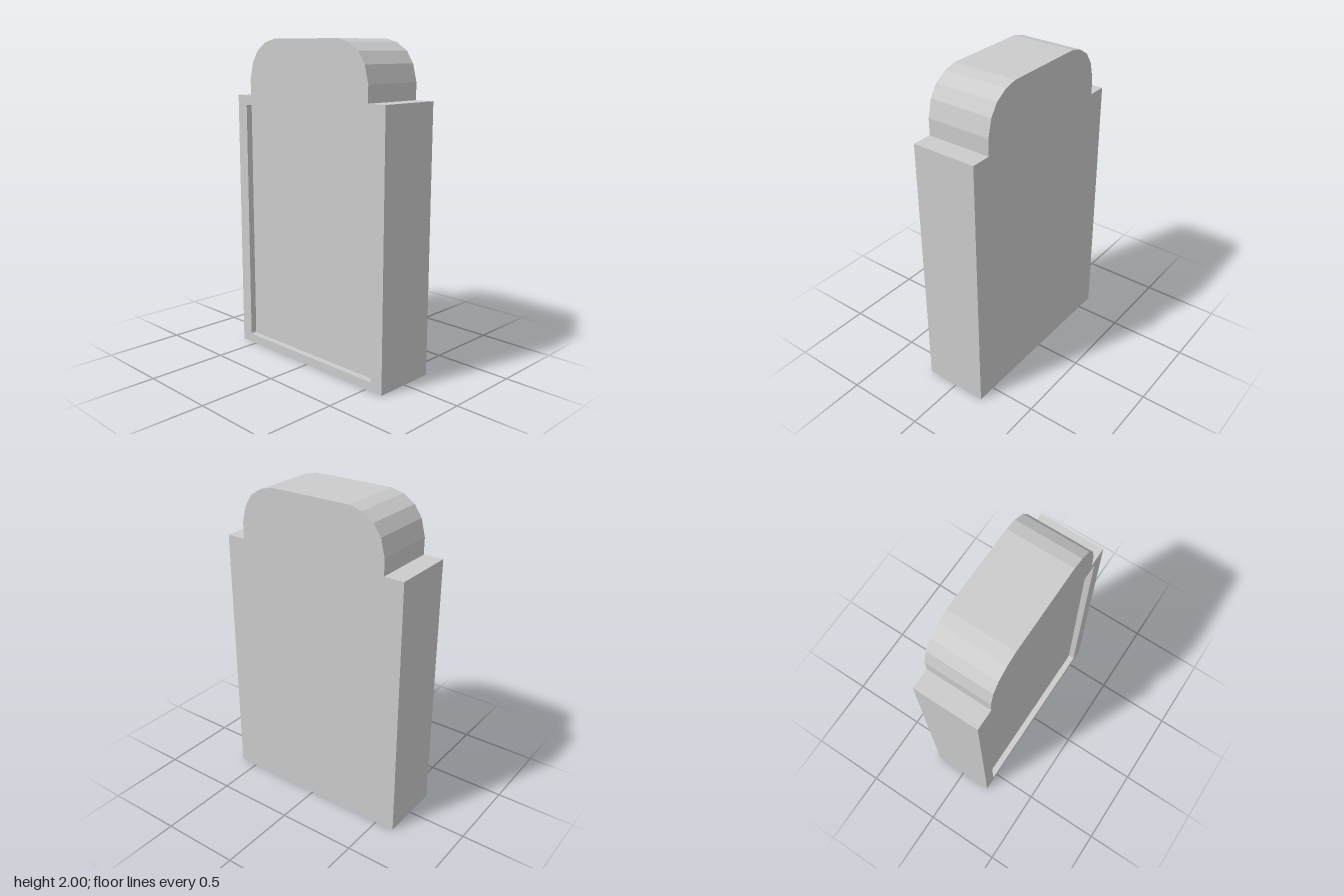
import * as THREE from 'three';

const HALF_DEPTH = 0.205;
const RECESS = 0.04;

// Stepped slab outline with a faceted, rounded crown
function slabOutline() {
  const side = [
    [0.622, 0], [0.622, 1.652], [0.497, 1.652], [0.497, 1.755],
    [0.47, 1.86], [0.422, 1.932], [0.346, 1.98], [0.268, 2],
  ].map(([x, y]) => new THREE.Vector2(x, y));
  const mirrored = side.map((p) => new THREE.Vector2(-p.x, p.y)).reverse();
  return new THREE.Shape([...side, ...mirrored]);
}

// Rectangle with tiny cut corners
function panelHole(x0, x1, y0, y1, c) {
  return new THREE.Path([
    [x0 + c, y0], [x0, y0 + c], [x0, y1 - c], [x0 + c, y1],
    [x1 - c, y1], [x1, y1 - c], [x1, y0 + c], [x1 - c, y0],
  ].map(([x, y]) => new THREE.Vector2(x, y)));
}

export function createModel() {
  const group = new THREE.Group();
  group.name = 'headstone';
  const material = new THREE.MeshStandardMaterial({ color: 0xcccccc, flatShading: true });

  const addLayer = (name, shape, z0, z1) => {
    const geometry = new THREE.ExtrudeGeometry(shape, { depth: z1 - z0, bevelEnabled: false });
    geometry.translate(0, 0, z0);
    const mesh = new THREE.Mesh(geometry, material);
    mesh.name = name;
    group.add(mesh);
  };

  // Solid stone, whose front forms the floor of the recess
  addLayer('stoneSlab', slabOutline(), -HALF_DEPTH, HALF_DEPTH - RECESS);

  // Front layer framing the recessed panel
  const frame = slabOutline();
  frame.holes.push(panelHole(-0.542, 0.537, 0.056, 1.592, 0.006));
  addLayer('frontFrame', frame, HALF_DEPTH - RECESS, HALF_DEPTH);

  return group;
}
